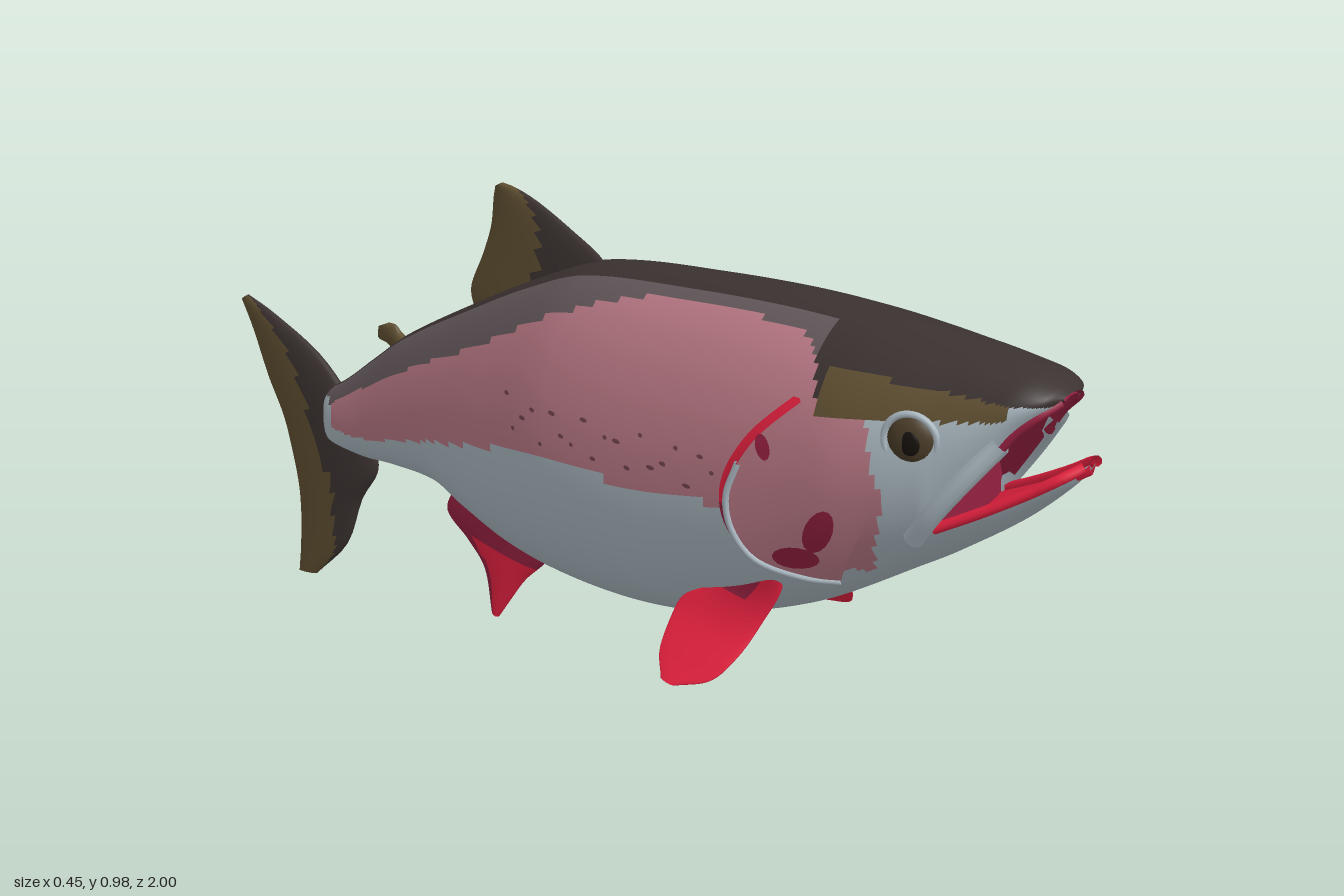
import * as THREE from 'three';
import { mergeVertices } from 'three/addons/utils/BufferGeometryUtils.js';

const COLOURS = {
  darkBack: 0x3b3231, greyBand: 0x62575a, pinkFlank: 0xb87884, silverBelly: 0xa9b7bf, oliveFin: 0x5f4f31,
  redFin: 0xe5213f, crimson: 0x94203f, eyeBrown: 0x4a3c28, pupilBlack: 0x17120f, spotBrown: 0x74434e,
};
const NAMES = Object.keys(COLOURS);
const [BACK, BAND, PINK, SILVER, OLIVE, RED, CRIMSON, EYE, PUPIL, SPOT] = NAMES.map((_, i) => i);

// Smooth interpolation through [position, value] pairs in ascending order
function at(tab, z) {
  const n = tab.length - 1;
  if (z <= tab[0][0]) return tab[0][1];
  if (z >= tab[n][0]) return tab[n][1];
  let i = 0;
  while (z > tab[i + 1][0]) i++;
  const slope = (k) => {
    const a = tab[Math.max(k - 1, 0)], b = tab[Math.min(k + 1, n)];
    return (b[1] - a[1]) / (b[0] - a[0]);
  };
  const [z0, y0] = tab[i], [z1, y1] = tab[i + 1], h = z1 - z0, t = (z - z0) / h;
  const t2 = t * t, t3 = t2 * t;
  return (2 * t3 - 3 * t2 + 1) * y0 + (t3 - 2 * t2 + t) * h * slope(i)
    + (3 * t2 - 2 * t3) * y1 + (t3 - t2) * h * slope(i + 1);
}

// Body profile along z
const TOP = [[-.76, .46], [-.7, .485], [-.6, .56], [-.5, .635], [-.3, .75], [-.15, .83], [0, .892], [.25, .925],
  [.5, .94], [.78, .93], [.9, .915], [.94, .9], [.955, .888]];
const BOTTOM = [[-.76, .33], [-.65, .335], [-.55, .345], [-.42, .345], [-.34, .315], [-.2, .275], [-.05, .262],
  [.14, .27], [.3, .305], [.515, .395], [.73, .535], [.78, .57], [.895, .66], [.97, .735], [1, .775]];
const WIDTH = [[-.76, .008], [-.73, .026], [-.6, .043], [-.4, .075], [-.2, .12], [0, .163], [.3, .18], [.6, .178],
  [.7, .162], [.78, .142]];
const HEAD_W = [[.78, .142], [.85, .115], [.9, .09], [.94, .058], [.955, .025]];
const JAW_W = [[.78, .142], [.85, .115], [.9, .092], [.96, .065], [.985, .045], [1, .012]];
const UPPER_LIP = [[.78, .64], [.86, .76], [.9, .825], [.955, .88]];
const LOWER_LIP = [[.78, .64], [.9, .712], [1, .783]];
const PINK_TOP = [[-.72, .43], [-.69, .455], [-.45, .59], [-.23, .7], [-.02, .815], [.2, .89], [.5, .905], [.55, .88], [.58, .83]];
const PINK_LOW = [[-.72, .39], [-.61, .395], [-.34, .475], [-.07, .55], [.2, .575], [.42, .59], [.5, .52], [.72, .53]];
const MOUTH = .78, LIP_SIN = -.61, LIP = Math.asin(LIP_SIN), LIP_COS = Math.cos(LIP);

// Half width of the body behind the mouth at a side position
function sideX(z, y) {
  const t = at(TOP, z), b = at(BOTTOM, z), k = (2 * y - t - b) / (t - b);
  const w = z > MOUTH ? at(HEAD_W, z) : at(WIDTH, z);
  return w * Math.sqrt(Math.max(0, 1 - k * k));
}

// Point on the skin: k runs 0..1 behind the mouth and 1..2 along the open jaws
function skin(k, a, upper) {
  const z = k <= 1 ? -.76 + k * (MOUTH + .76) : MOUTH + Math.sin((k - 1) * Math.PI / 2) * (upper ? .175 : .22);
  const t = at(TOP, z), b = at(BOTTOM, z), s = Math.sin(a);
  if (k <= 1) return [at(WIDTH, z) * Math.cos(a), (t + b) / 2 + s * (t - b) / 2, z];
  const lip = at(upper ? UPPER_LIP : LOWER_LIP, z);
  const y = upper ? lip + (s - LIP_SIN) / (1 - LIP_SIN) * (t - lip) : b + (s + 1) / (LIP_SIN + 1) * (lip - b);
  return [at(upper ? HEAD_W : JAW_W, z) * Math.cos(a), y, z];
}

function skinColour(x, y, z) {
  x = Math.abs(x);
  if (z > .58) {
    if (y > .875) return BACK;
    if (z < .9 && y > .80 + (z - .58) * .16) return OLIVE;
    return z < .72 - Math.abs(y - .68) * .3 && y > .53 ? PINK : SILVER;
  }
  if (y > at(PINK_TOP, z)) {
    if (z < -.72 && y < .45) return SILVER;
    return z > .55 || (x < .3 * at(WIDTH, z) && y > .4) ? BACK : BAND;
  }
  return z > -.705 && y > at(PINK_LOW, z) ? PINK : SILVER;
}

export function createModel() {
  const fish = new THREE.Group();
  fish.name = 'fish';
  const mats = NAMES.map((name) => {
    const m = new THREE.MeshStandardMaterial({ color: COLOURS[name], side: THREE.DoubleSide });
    m.name = name;
    return m;
  });
  const add = (name, geo, mat) => {
    const mesh = new THREE.Mesh(geo, mat === undefined ? mats : mats[mat]);
    mesh.name = name;
    fish.add(mesh);
    return mesh;
  };

  // Smooth grid of points whose cells are sorted into colour groups; -1 leaves a cell out
  function grid(name, nu, nv, point, colour) {
    const pos = [], buckets = NAMES.map(() => []);
    for (let i = 0; i <= nu; i++) for (let j = 0; j <= nv; j++) pos.push(...point(i, j));
    for (let i = 0; i < nu; i++) for (let j = 0; j < nv; j++) {
      const a = i * (nv + 1) + j, b = a + 1, c = a + nv + 1, d = c + 1;
      const mid = [0, 1, 2].map((n) => (pos[a * 3 + n] + pos[b * 3 + n] + pos[c * 3 + n] + pos[d * 3 + n]) / 4);
      const k = colour(mid, i, j);
      if (k >= 0) buckets[k].push(a, b, c, c, b, d);
    }
    let geo = new THREE.BufferGeometry();
    geo.setAttribute('position', new THREE.Float32BufferAttribute(pos, 3));
    geo.setIndex(buckets.flat());
    let start = 0;
    buckets.forEach((list, k) => {
      if (list.length) geo.addGroup(start, list.length, k);
      start += list.length;
    });
    geo = mergeVertices(geo, 1e-5);
    geo.computeVertexNormals();
    return add(name, geo);
  }

  // Body, head and lower jaw in one skin, slit along the lips
  const UP = 72, LOW = 28, LONG = 150, HEAD = 30;
  grid('body', LONG + HEAD, UP + LOW + 2, (i, j) => {
    const k = i <= LONG ? i / LONG : 1 + (i - LONG) / HEAD;
    if (j <= UP) return skin(k, LIP + (Math.PI - 2 * LIP) * j / UP, true);
    if (j === UP + LOW + 2) return skin(k, LIP, true);
    return skin(k, Math.PI - LIP + (Math.PI + 2 * LIP) * (j - UP - 1) / LOW, false);
  }, (p, i, j) => (j === UP || j === UP + LOW + 1 ? -1 : skinColour(...p)));

  // Mouth lining: palate, floor and throat
  const palate = (z, s) => {
    const lip = at(UPPER_LIP, z);
    return [at(HEAD_W, z) * LIP_COS * s, lip + (at(TOP, z) - lip) * .6 * (1 - s * s), z];
  };
  const floor = (z, s) => [at(JAW_W, z) * LIP_COS * s, at(LOWER_LIP, z) - .02 * (1 - s * s), z];
  grid('palate', 16, 16, (i, j) => palate(MOUTH + .175 * i / 16, j / 8 - 1), () => CRIMSON);
  grid('mouthFloor', 16, 16, (i, j) => floor(MOUTH + .22 * i / 16, j / 8 - 1), () => RED);
  grid('throat', 4, 16, (i, j) => {
    const a = palate(MOUTH, j / 8 - 1), b = floor(MOUTH, j / 8 - 1);
    return a.map((v, n) => v + (b[n] - v) * i / 4);
  }, () => CRIMSON);

  const tube = (name, pts, r, mat) => add(name, new THREE.TubeGeometry(
    new THREE.CatmullRomCurve3(pts.map((p) => new THREE.Vector3(...p))), 32, r, 8), mat);

  // Rear edge of the gill cover as [z, y]
  const gillEdge = new THREE.SplineCurve([[.565, .82], [.49, .74], [.445, .65], [.45, .57], [.505, .51], [.62, .5]]
    .map((p) => new THREE.Vector2(...p)));

  for (const s of [1, -1]) {
    const side = s > 0 ? 'left' : 'right';
    tube(side + 'LowerLip', [.79, .86, .93, .97, .995].map((z) => [s * at(JAW_W, z) * LIP_COS, at(LOWER_LIP, z), z]), .009, RED);
    tube(side + 'UpperLip', [.87, .9, .93, .952].map((z) => [s * at(HEAD_W, z) * LIP_COS, at(UPPER_LIP, z), z]), .008, CRIMSON);
    tube(side + 'UpperJawBone', [[s * .085, .81, .885], [s * .11, .745, .84], [s * .12, .68, .795], [s * .113, .62, .755]], .018, SILVER);

    // Eye with socket ring
    const eye = add(side + 'Eye', new THREE.SphereGeometry(.042, 24, 16), EYE);
    eye.scale.x = .5;
    eye.position.set(s * .133, .797, .757);
    eye.rotation.y = -s * .25;
    const pupil = add(side + 'Pupil', new THREE.SphereGeometry(.02, 16, 12), PUPIL);
    pupil.scale.x = .25;
    pupil.position.set(s * .151, .797, .762);
    const ring = add(side + 'EyeRing', new THREE.TorusGeometry(.044, .006, 8, 32), SILVER);
    ring.rotation.y = Math.PI / 2 - s * .25;
    ring.position.set(s * .139, .797, .757);

    // Gill cover, flaring towards its rear edge
    const cover = (u, v, lift) => {
      const e = gillEdge.getPoint(v), z = .7 + (e.x - .7) * u, y = .66 + (e.y - .66) * u;
      return [s * (sideX(z, y) + .002 + .014 * u * u + lift), y, z];
    };
    grid(side + 'GillCover', 12, 32, (i, j) => cover(i / 12, j / 32, 0), () => PINK);
    grid(side + 'GillOpening', 2, 32, (i, j) => {
      const p = cover(1, j / 32, 0), q = gillEdge.getPoint(j / 32);
      return i === 0 ? p : [s * (sideX(q.x - .012 * i, q.y) + .004), q.y, q.x - .012 * i];
    }, (p, i, j) => (j < 16 ? RED : CRIMSON));
    tube(side + 'GillRim', [.3, .45, .6, .75, .9, 1].map((v) => cover(1, v, 0)), .006, SILVER);

    // Crimson blotches and brown flecks painted on the skin
    const blotch = (name, z, y, rz, ry, tilt, mat, lift) => grid(name, 3, 16, (i, j) => {
      const a = j / 8 * Math.PI, c = Math.cos(a) * rz * i / 3, d = Math.sin(a) * ry * i / 3;
      const pz = z + c * Math.cos(tilt) - d * Math.sin(tilt), py = y + c * Math.sin(tilt) + d * Math.cos(tilt);
      return [s * (sideX(pz, py) + lift), py, pz];
    }, () => mat);
    blotch(side + 'UpperCheekMark', .615, .61, .022, .05, -.5, CRIMSON, .014);
    blotch(side + 'LowerCheekMark', .565, .545, .045, .022, .3, CRIMSON, .016);
    blotch(side + 'GillMark', .51, .735, .014, .022, .5, CRIMSON, .018);
    for (let n = 0; n < 20; n++) {
      blotch(side + 'Fleck', .4 - n * .027, .655 + .035 * Math.sin(n * 2.4) - n * .002, .005 + .002 * (n % 3), .004, 0, SPOT, .003);
    }
  }

  // Fin lofted through rows of [front z, front y, back z, back y]
  function fin(name, rows, thick, colour, bend = () => 0) {
    const n = rows.length - 1, NU = 32, NV = 32;
    const cols = [0, 1, 2, 3].map((c) => rows.map((r, i) => [i / n, r[c]]));
    return grid(name, NU, NV, (i, j) => {
      const [fz, fy, bz, by] = cols.map((c) => at(c, i / NU));
      const a = j / NV * Math.PI * 2, s = (1 - Math.cos(a)) / 2, y = fy + (by - fy) * s;
      return [bend(y) + thick(i / NU) * Math.sin(a) * (1 - .5 * s), y, fz + (bz - fz) * s];
    }, (p, i, j) => colour((i + .5) / NU, (1 - Math.cos((j + .5) / NV * Math.PI * 2)) / 2));
  }
  fin('tailFin', [[-.98, .606, -1, .592], [-.9, .582, -.967, .53], [-.77, .527, -.93, .44], [-.68, .45, -.89, .365],
    [-.62, .37, -.87, .3], [-.61, .31, -.853, .22], [-.66, .235, -.85, .15], [-.71, .12, -.857, .07],
    [-.81, .02, -.866, .01]], (u) => .006 + .02 * Math.sin(Math.PI * u),
  (u, s) => (s < .58 * Math.sin(Math.PI * Math.min(1, u * 1.02)) ? BACK : OLIVE));
  fin('dorsalFin', [[0, .85, -.32, .72], [0, .892, -.33, .77], [-.08, .935, -.298, .84], [-.155, .968, -.275, .9],
    [-.21, .984, -.267, .955], [-.245, .988, -.262, .978]], (u) => .022 - .015 * u,
  (u, s) => (s < .62 - .8 * u ? BACK : OLIVE));
  fin('adiposeFin', [[-.5, .62, -.55, .59], [-.525, .63, -.565, .6], [-.54, .643, -.59, .606], [-.56, .643, -.588, .63]],
    (u) => .014 - .005 * u, () => OLIVE);
  fin('analFin', [[-.14, .3, -.39, .34], [-.14, .262, -.41, .285], [-.2, .2, -.355, .24], [-.24, .145, -.31, .19],
    [-.275, .095, -.293, .1]], (u) => .022 - .014 * u, (u, s) => (u < .36 || s > .85 - .2 * u ? CRIMSON : RED));

  // Paired pectoral fins, sweeping outwards at the tips
  const SWEEP = [[.25, .228], [.3, .185], [.36, .14], [.42, .12], [.5, .122]];
  for (const s of [1, -1]) {
    fin(s > 0 ? 'leftPectoralFin' : 'rightPectoralFin', [[.515, .495, .45, .49], [.5, .44, .39, .44], [.475, .385, .34, .405],
      [.45, .32, .295, .37], [.42, .28, .295, .3], [.36, .258, .325, .26]], (u) => .016 - .009 * u,
    (u, s2) => (u < .3 && s2 > .45 ? CRIMSON : RED), (y) => s * at(SWEEP, y));
  }
  return fish;
}
